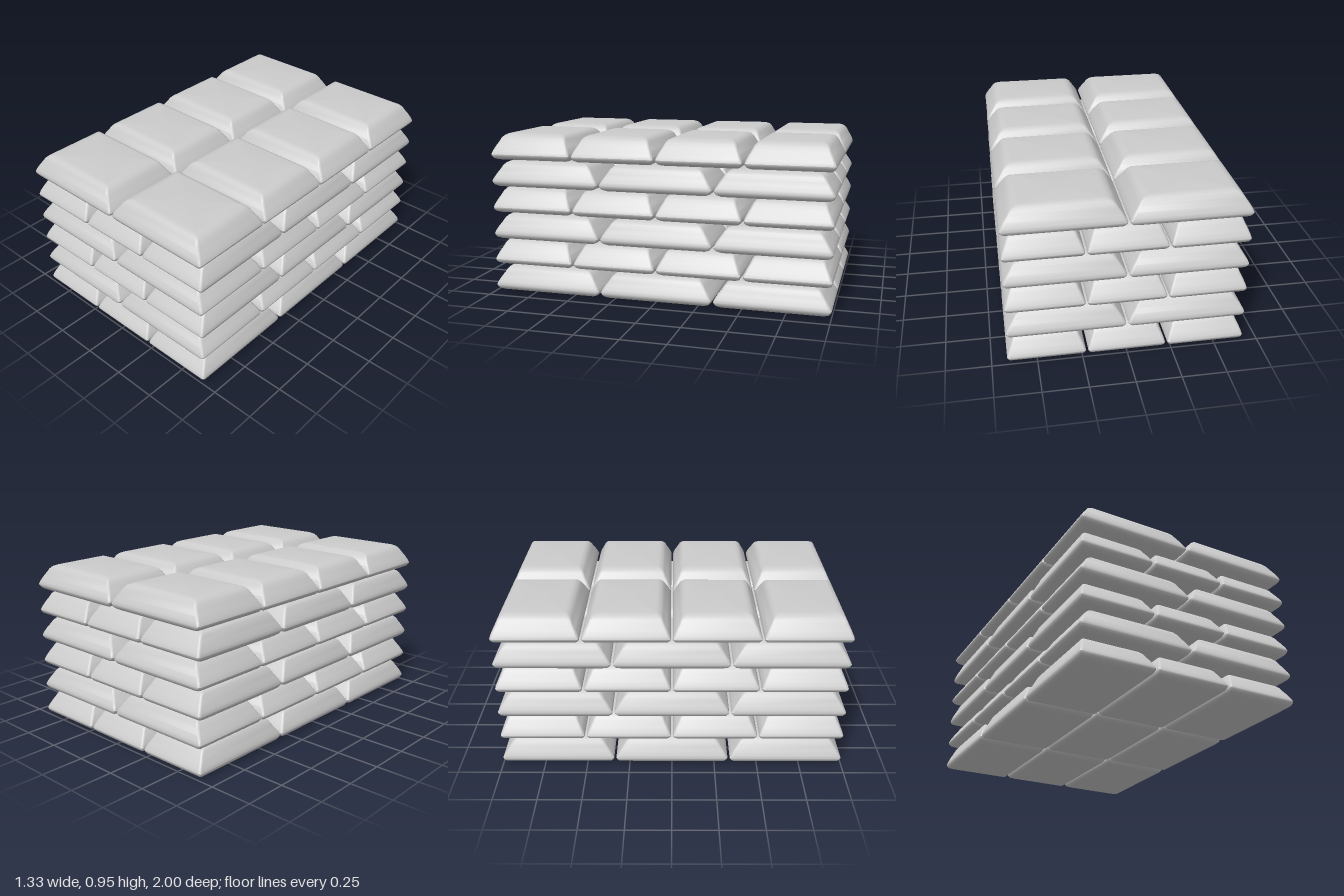
import * as THREE from 'three';
import { toCreasedNormals } from 'three/addons/utils/BufferGeometryUtils.js';

const LAYERS = 6, PITCH = 0.158, WIDTH = 1.33, LENGTH = 2, GAP = 0.012;

// Sack side profile from bottom to top: [inset as a share of the sack size, height]
const PROFILE = [
  [0.12, 0], [0.05, 0.006], [0.018, 0.016], [0.003, 0.029], [0, 0.038], [0.012, 0.056],
  [0.037, 0.083], [0.066, 0.11], [0.085, 0.13], [0.11, 0.145], [0.145, 0.154], [0.17, 0.156],
];

// Rounded rectangle outline in the ground plane
function outline(halfX, halfZ, radius, steps = 3) {
  const points = [];
  for (const [corner, sx, sz] of [[0, 1, 1], [1, -1, 1], [2, -1, -1], [3, 1, -1]]) {
    for (let i = 0; i <= steps; i++) {
      const a = (corner + i / steps) * Math.PI / 2;
      points.push([
        sx * (halfX - radius) + radius * Math.cos(a),
        sz * (halfZ - radius) + radius * Math.sin(a),
      ]);
    }
  }
  return points;
}

// Filled sack lofted through the profile, closed at both ends
function sackGeometry(w, d) {
  const positions = [], index = [];
  let n = 0;
  for (const [inset, y] of PROFILE) {
    const ring = outline(w * (0.5 - inset), d * (0.5 - inset), 0.014);
    n = ring.length;
    ring.forEach(([x, z]) => positions.push(x, y, z));
  }
  const top = (PROFILE.length - 1) * n;
  const bottomCentre = top + n, topCentre = bottomCentre + 1;
  positions.push(0, 0, 0, 0, PROFILE[PROFILE.length - 1][1], 0);
  for (let i = 0; i < n; i++) {
    const j = (i + 1) % n;
    for (let r = 0; r < top; r += n) {
      index.push(r + i, r + n + i, r + j, r + j, r + n + i, r + n + j);
    }
    index.push(bottomCentre, i, j, topCentre, top + j, top + i);
  }
  const geometry = new THREE.BufferGeometry();
  geometry.setAttribute('position', new THREE.Float32BufferAttribute(positions, 3));
  geometry.setIndex(index);
  return toCreasedNormals(geometry, 0.7);
}

export function createModel() {
  const model = new THREE.Group();
  model.name = 'sackStack';
  const material = new THREE.MeshStandardMaterial({ color: 0xcccccc });

  // Two alternating layer patterns: 3 x 3 and 2 x 4 sacks
  const patterns = [[3, 3], [2, 4]].map(([nx, nz]) => {
    const stepX = (WIDTH + GAP) / nx, stepZ = (LENGTH + GAP) / nz;
    return { nx, nz, stepX, stepZ, geometry: sackGeometry(stepX - GAP, stepZ - GAP) };
  });

  for (let level = 0; level < LAYERS; level++) {
    const { nx, nz, stepX, stepZ, geometry } = patterns[level % 2];
    const layer = new THREE.Group();
    layer.name = `layer${level + 1}`;
    layer.position.y = level * PITCH;
    for (let i = 0; i < nx; i++) {
      for (let k = 0; k < nz; k++) {
        const sack = new THREE.Mesh(geometry, material);
        sack.name = 'sack';
        sack.position.set((i - (nx - 1) / 2) * stepX, 0, (k - (nz - 1) / 2) * stepZ);
        layer.add(sack);
      }
    }
    model.add(layer);
  }
  return model;
}
